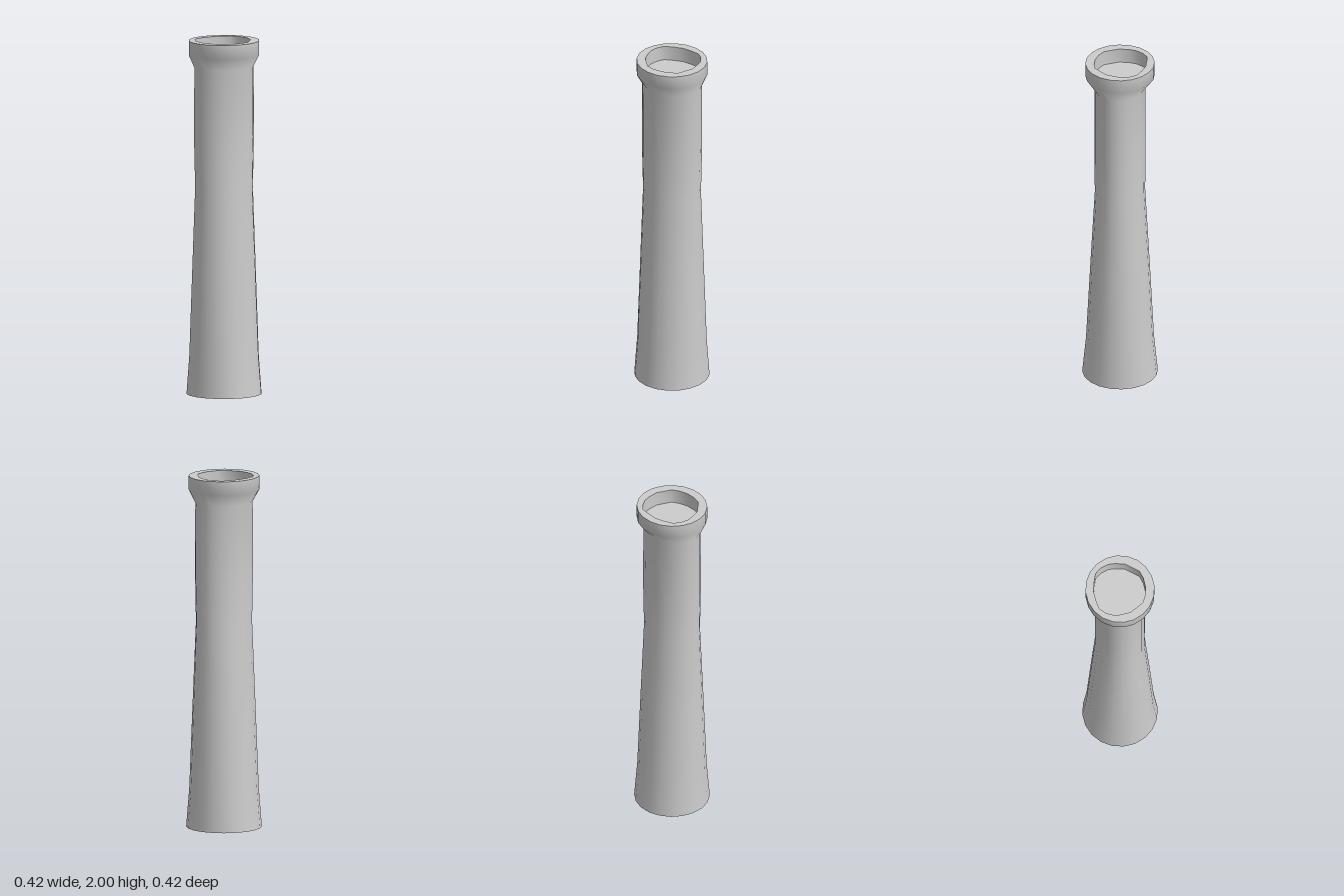
import * as THREE from 'three';
import { mergeVertices, toCreasedNormals } from 'three/addons/utils/BufferGeometryUtils.js';

const SIDES = 20;
const HEIGHT = 2;
const RECESS_FLOOR = 1.915;

// Column rings from base to rim: height, half width, half depth
const RINGS = [
  [0, 0.212, 0.212],
  [0.22, 0.197, 0.19],
  [0.7, 0.182, 0.165],
  [1.17, 0.167, 0.139],
  [1.45, 0.174, 0.14],
  [1.85, 0.172, 0.14],
  [1.92, 0.2, 0.194],
  [HEIGHT, 0.2, 0.194],
];

// Half outline (x, z) of the recess, from front to back
const HALF_RECESS = [
  [0, 0.143], [0.052, 0.136], [0.095, 0.118], [0.145, 0.043], [0.153, -0.016],
  [0.152, -0.05], [0.134, -0.095], [0.105, -0.127], [0.052, -0.141], [0, -0.149],
];

export function createModel() {
  const group = new THREE.Group();
  const material = new THREE.MeshStandardMaterial({ color: 0xcccccc });
  const add = (name, geometry) => {
    const mesh = new THREE.Mesh(geometry, material);
    mesh.name = name;
    group.add(mesh);
  };

  // Flat horizontal face from points (x, z), facing up
  const toVectors = (points) => points.map(([x, z]) => new THREE.Vector2(x, -z));
  const flatFace = (outline, y, hole) => {
    const shape = new THREE.Shape(toVectors(outline));
    if (hole) shape.holes.push(new THREE.Path(toVectors(hole)));
    return new THREE.ShapeGeometry(shape).rotateX(-Math.PI / 2).translate(0, y, 0);
  };

  // Smooth shaft and collar: a lathe whose rings are squeezed in depth
  const lathe = new THREE.LatheGeometry(RINGS.map(([y, rx]) => new THREE.Vector2(rx, y)), SIDES);
  const position = lathe.attributes.position;
  for (let i = 0; i < position.count; i++) {
    const [, rx, rz] = RINGS[i % RINGS.length];
    position.setZ(i, position.getZ(i) * rz / rx);
  }
  lathe.deleteAttribute('uv');
  lathe.deleteAttribute('normal');
  const shaft = mergeVertices(lathe, 1e-5);
  shaft.computeVertexNormals();
  add('shaft', shaft);

  // Underside
  add('base', new THREE.CircleGeometry(RINGS[0][1], SIDES).rotateX(Math.PI / 2));

  // Rim around the recess
  const recess = [...HALF_RECESS, ...HALF_RECESS.slice(1, -1).reverse().map(([x, z]) => [-x, z])];
  const [, rimX, rimZ] = RINGS[RINGS.length - 1];
  const rim = Array.from({ length: SIDES }, (_, i) => {
    const angle = (i / SIDES) * Math.PI * 2;
    return [rimX * Math.sin(angle), rimZ * Math.cos(angle)];
  });
  add('rim', flatFace(rim, HEIGHT, recess));

  // Recess floor and inward-facing wall
  add('recessFloor', flatFace(recess, RECESS_FLOOR));
  const corners = [];
  recess.forEach(([ax, az], i) => {
    const [bx, bz] = recess[(i + 1) % recess.length];
    corners.push(ax, RECESS_FLOOR, az, bx, HEIGHT, bz, bx, RECESS_FLOOR, bz);
    corners.push(ax, RECESS_FLOOR, az, ax, HEIGHT, az, bx, HEIGHT, bz);
  });
  const wall = new THREE.BufferGeometry();
  wall.setAttribute('position', new THREE.Float32BufferAttribute(corners, 3));
  add('recessWall', toCreasedNormals(wall, 0.8));

  return group;
}
